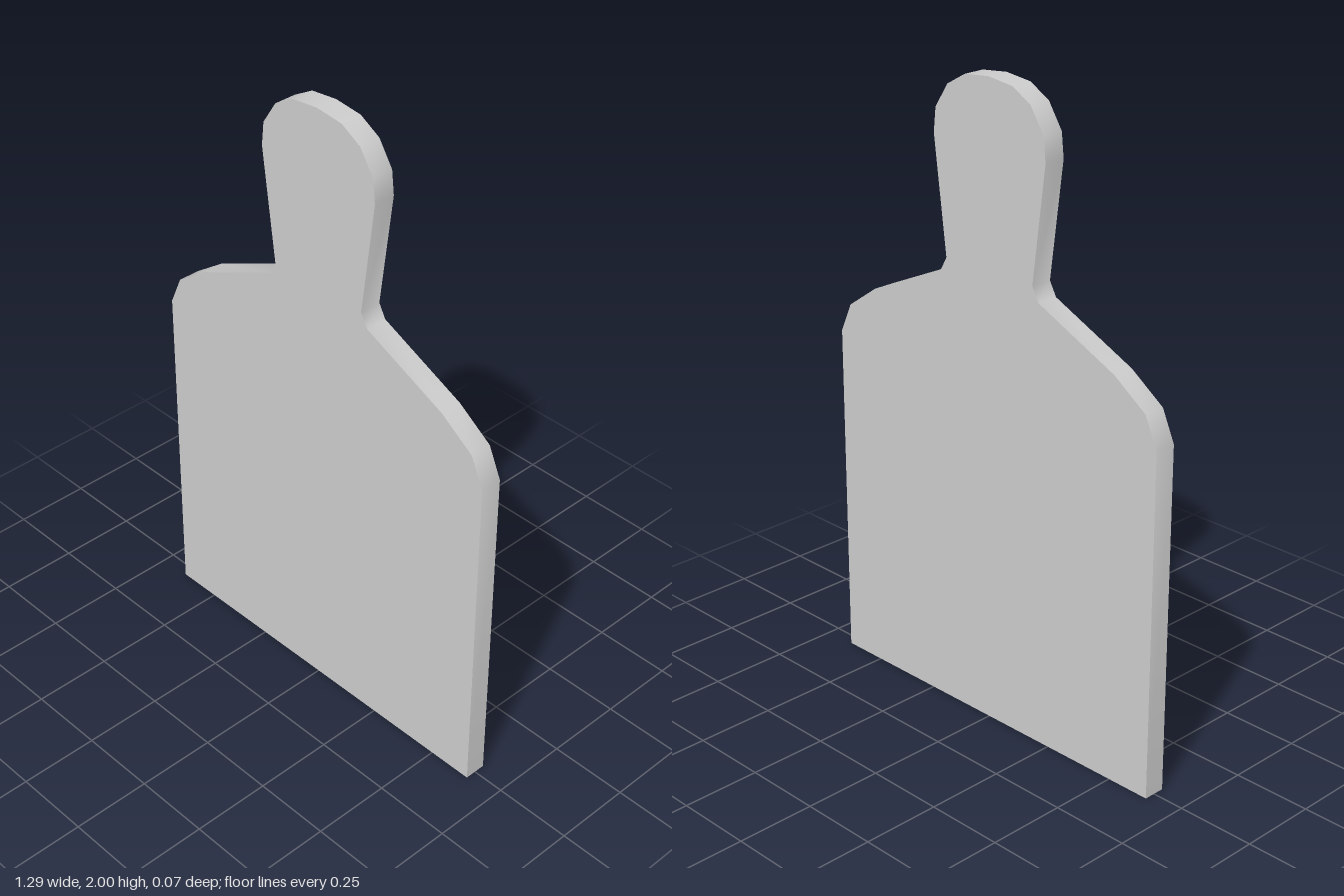
import * as THREE from 'three';
import { toCreasedNormals } from 'three/addons/utils/BufferGeometryUtils.js';

const DEPTH = 0.07;

// Right half of the outline, from the bottom corner up to the top of the handle
const HALF = [
  [0.645, 0], [0.645, 1.09], [0.602, 1.185], [0.487, 1.265], // body and shoulder
  [0.197, 1.397], [0.173, 1.44],                             // neck
  [0.22, 1.8], [0.212, 1.875], [0.163, 1.95], [0.093, 1.99], // rounded handle
];

export function createModel() {
  const group = new THREE.Group();
  group.name = 'paddleBoard';

  // Mirror the half outline across x = 0
  const right = HALF.map(([x, y]) => new THREE.Vector2(x, y));
  const left = HALF.map(([x, y]) => new THREE.Vector2(-x, y)).reverse();
  const outline = new THREE.Shape([...right, new THREE.Vector2(0, 2), ...left]);

  // Flat slab with softly shaded rim and sharp face edges
  const slab = new THREE.ExtrudeGeometry(outline, { depth: DEPTH, bevelEnabled: false });
  slab.translate(0, 0, -DEPTH / 2);
  const board = new THREE.Mesh(
    toCreasedNormals(slab, THREE.MathUtils.degToRad(45)),
    new THREE.MeshStandardMaterial({ color: 0xcccccc })
  );
  board.name = 'board';
  group.add(board);

  return group;
}
